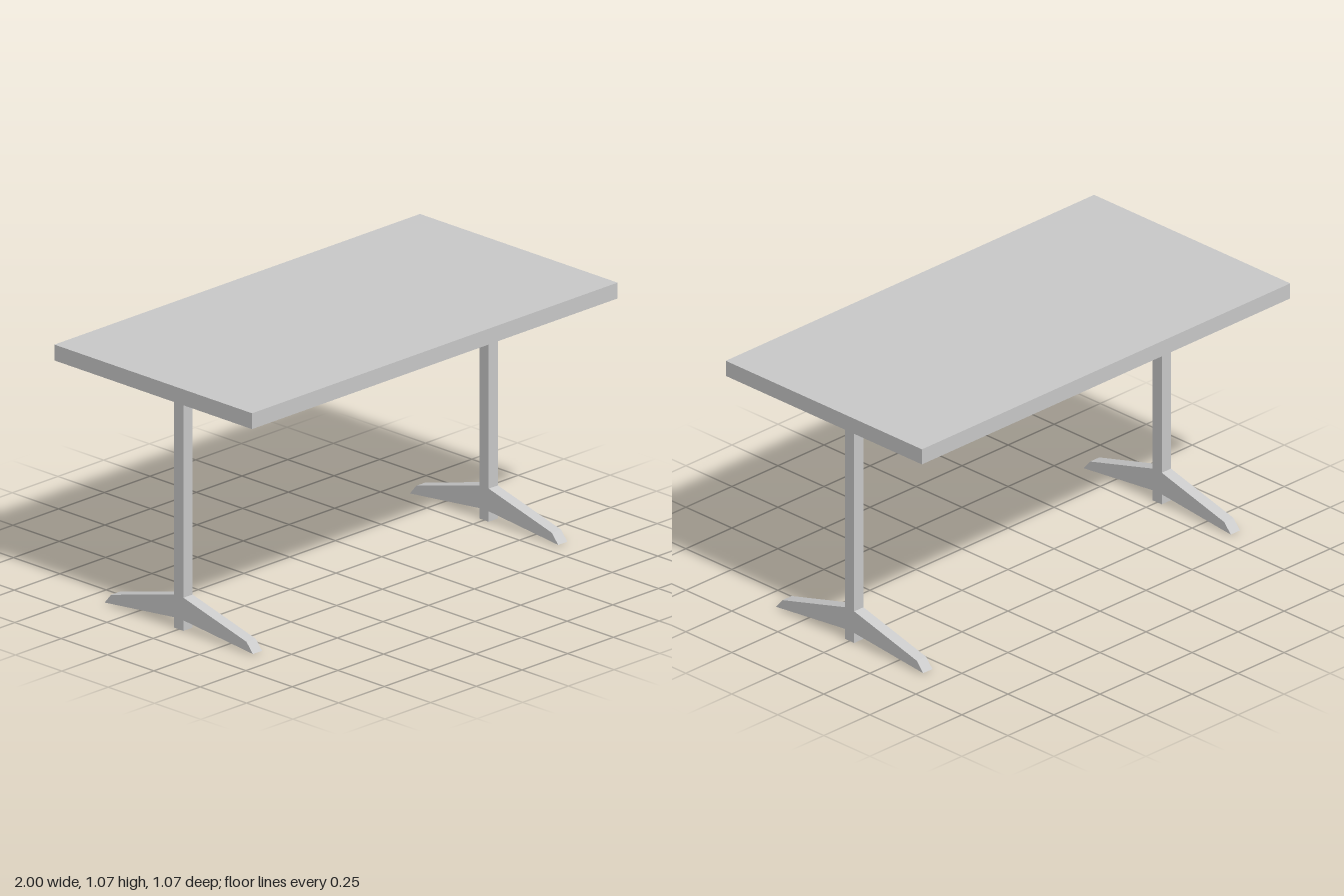
import * as THREE from 'three';

const material = new THREE.MeshStandardMaterial({ color: 0xcccccc, flatShading: true });
const LEG_X = 0.835, LEG_WIDTH = 0.05, HALF_DEPTH = 0.025;
const TOP_BOTTOM = 1.0, TOP_THICKNESS = 0.065;

function box(name, w, h, d, x, y, z) {
  const mesh = new THREE.Mesh(new THREE.BoxGeometry(w, h, d), material);
  mesh.name = name;
  mesh.position.set(x, y, z);
  return mesh;
}

// Flat arm: outline points are [distance from centre, height], extruded across the leg width
function arm(name, outline) {
  const shape = new THREE.Shape(outline.map(([d, y]) => new THREE.Vector2(d, y)));
  const geometry = new THREE.ExtrudeGeometry(shape, { depth: LEG_WIDTH, bevelEnabled: false });
  geometry.translate(0, 0, -LEG_WIDTH / 2);
  geometry.rotateY(-Math.PI / 2);
  const mesh = new THREE.Mesh(geometry, material);
  mesh.name = name;
  return mesh;
}

const FOOT = [[HALF_DEPTH, 0.043], [0.4, 0.004], [0.365, 0.045], [HALF_DEPTH, 0.136]];
const BRACKET = [[HALF_DEPTH, 0.948], [0.358, 0.968], [0.4, TOP_BOTTOM], [HALF_DEPTH, TOP_BOTTOM]];

// Column with feet and top brackets reaching forward and back
function createLeg(name) {
  const leg = new THREE.Group();
  leg.name = name;
  leg.add(box('column', LEG_WIDTH, TOP_BOTTOM, HALF_DEPTH * 2, 0, TOP_BOTTOM / 2, 0));
  for (const [side, turn] of [['front', 0], ['back', Math.PI]]) {
    const foot = arm(side + 'Foot', FOOT);
    const bracket = arm(side + 'Bracket', BRACKET);
    foot.rotation.y = bracket.rotation.y = turn;
    leg.add(foot, bracket);
  }
  return leg;
}

export function createModel() {
  const table = new THREE.Group();
  table.name = 'table';
  table.add(box('tableTop', 2, TOP_THICKNESS, 1.066, 0, TOP_BOTTOM + TOP_THICKNESS / 2, 0));
  for (const [name, side] of [['leftLeg', 1], ['rightLeg', -1]]) {
    const leg = createLeg(name);
    leg.position.x = side * LEG_X;
    table.add(leg);
  }
  return table;
}
